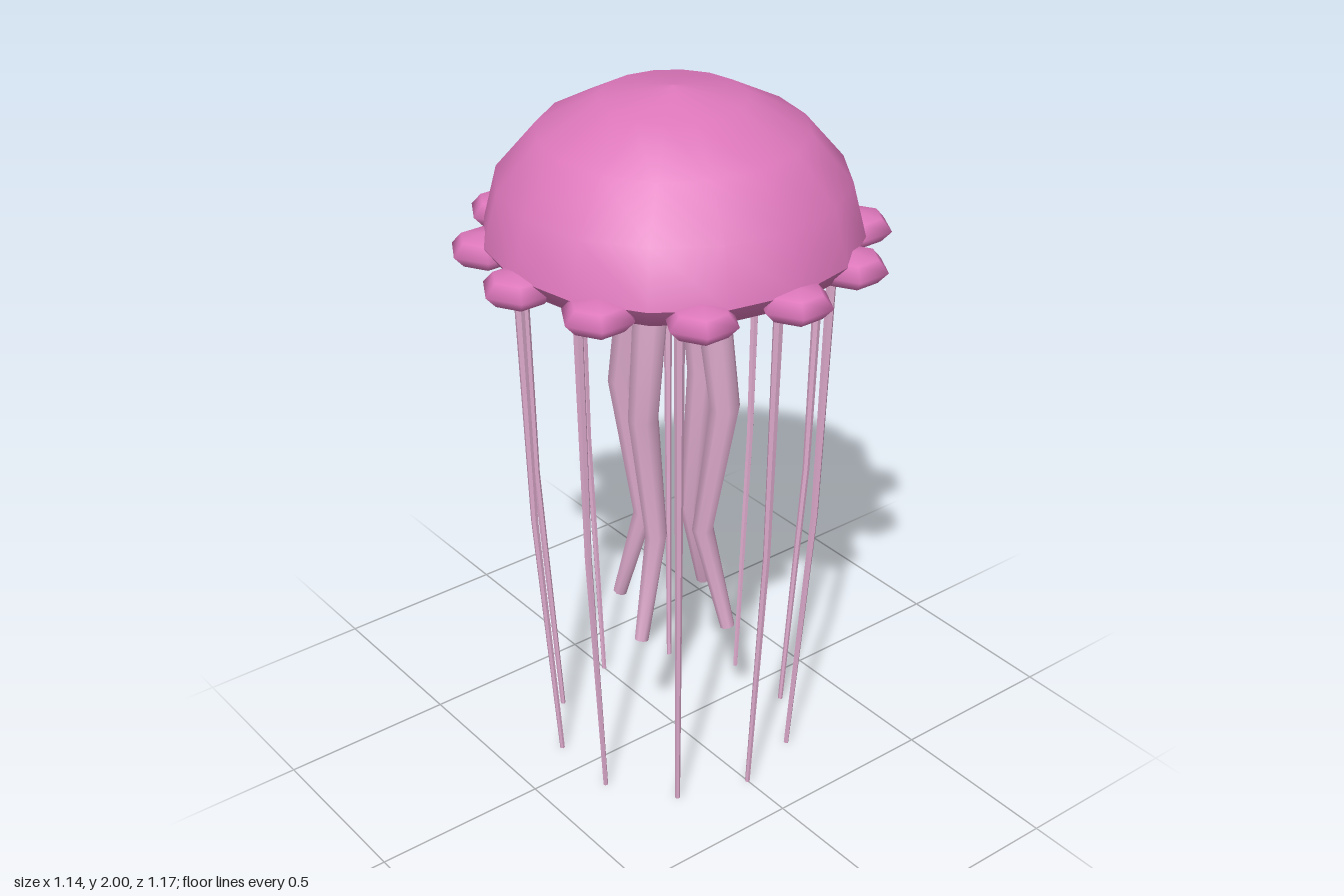
import * as THREE from 'three';
import { toCreasedNormals } from 'three/addons/utils/BufferGeometryUtils.js';

const bellPink = new THREE.MeshStandardMaterial({ color: 0xdd77bb });
bellPink.name = 'bell pink';
const tentaclePink = new THREE.MeshStandardMaterial({ color: 0xddaacc });
tentaclePink.name = 'pale tentacle pink';

// Tapered, bent limb in the x-y plane; stations are [x, y, radius] from top to tip
function limbGeometry(stations, sides) {
  const last = stations.length - 1;
  const g = new THREE.CylinderGeometry(1, 1, 1, sides, last);
  const p = g.attributes.position;
  for (let i = 0; i < p.count; i++) {
    const k = Math.round((0.5 - p.getY(i)) * last);
    const [x, y, r] = stations[k];
    const a = stations[Math.max(k - 1, 0)];
    const b = stations[Math.min(k + 1, last)];
    const slope = (b[0] - a[0]) / (b[1] - a[1]);
    const lx = p.getX(i) * r;
    // tilt each ring so that it stays square to the limb
    p.setXYZ(i, x + lx, y - slope * lx, p.getZ(i) * r);
  }
  return toCreasedNormals(g, 0.95);
}

export function createModel() {
  const model = new THREE.Group();
  model.name = 'jellyfish';

  const add = (name, geometry, material) => {
    const mesh = new THREE.Mesh(geometry, material);
    mesh.name = name;
    model.add(mesh);
    return mesh;
  };
  const lathe = (pts) => new THREE.LatheGeometry(pts.map(([x, y]) => new THREE.Vector2(x, y)), 16);

  // Domed bell
  const dome = [];
  for (let i = 0; i <= 4; i++) {
    const t = (i * Math.PI) / 8;
    dome.push([i === 4 ? 0 : 0.5 * Math.cos(t), 1.61 + 0.39 * Math.sin(t)]);
  }
  add('bell', lathe(dome), bellPink);

  // Shallow closed underside
  add('bellUnderside', lathe([[0, 1.535], [0.35, 1.537], [0.46, 1.555], [0.5, 1.61]]), bellPink);

  // Ring of flattened beads around the rim, all facing the same way
  const bead = new THREE.SphereGeometry(0.098, 6, 4);
  bead.rotateY(Math.PI / 6);
  bead.scale(1, 0.46, 1);
  for (let i = 0; i < 12; i++) {
    const a = (i * Math.PI) / 6;
    add('rimBead', bead, bellPink).position.set(0.487 * Math.cos(a), 1.582, 0.487 * Math.sin(a));
  }

  // Four thick kinked arms in the middle
  const arm = limbGeometry([
    [0.1, 1.56, 0.05], [0.16, 1.12, 0.042], [0.095, 0.715, 0.031], [0.178, 0.412, 0.02],
  ], 8);
  for (let i = 0; i < 4; i++) {
    add('oralArm', arm, tentaclePink).rotation.y = ((i + 0.255) * Math.PI) / 2 - Math.PI / 2 + Math.PI / 4 * 1.98;
  }

  // Ten long thin tentacles hanging from the rim
  const tentacle = limbGeometry([
    [0.425, 1.57, 0.014], [0.403, 0.8, 0.01], [0.345, 0.0, 0.007],
  ], 6);
  for (let i = 0; i < 10; i++) {
    add('tentacle', tentacle, tentaclePink).rotation.y = (i * Math.PI) / 5;
  }

  return model;
}
